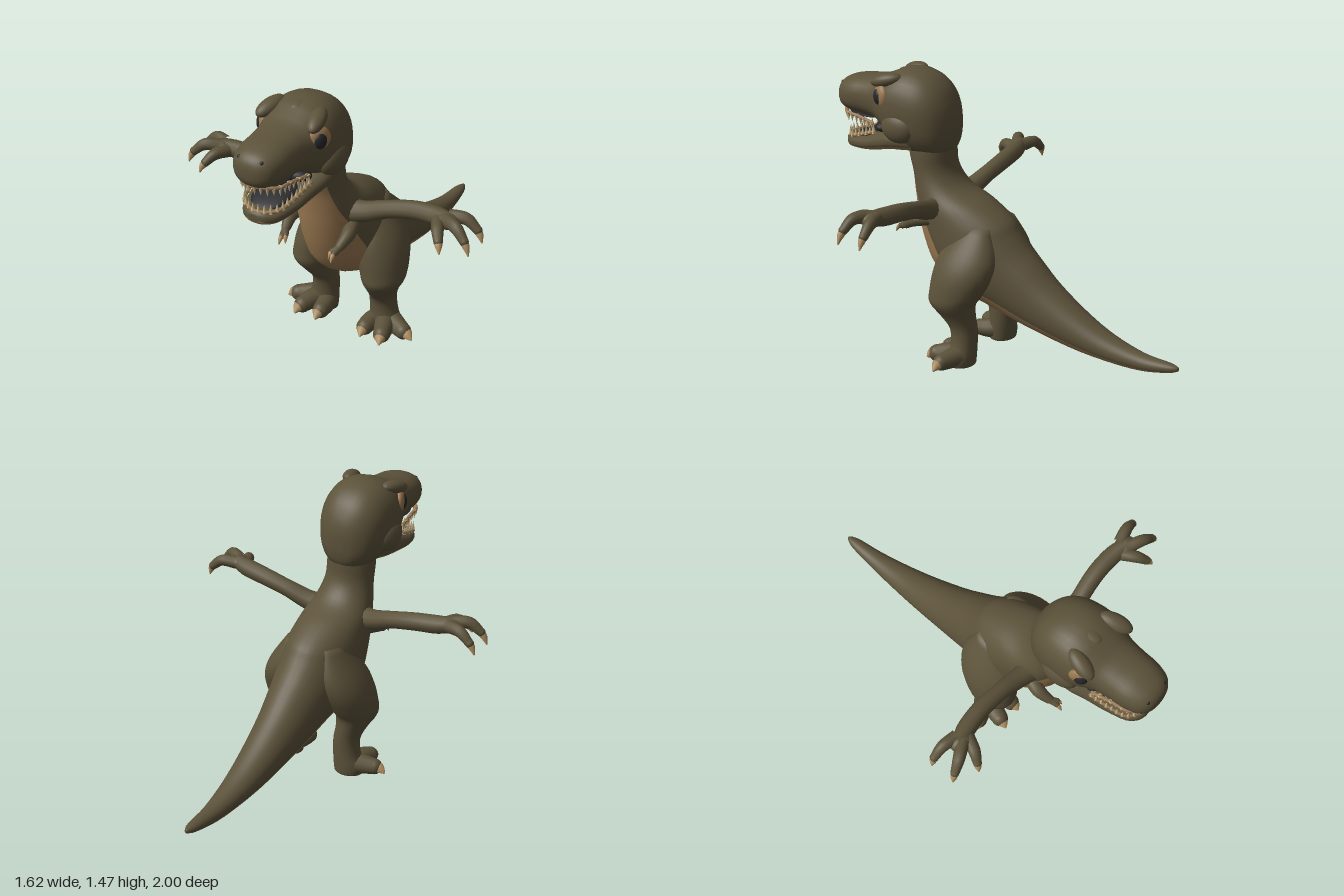
import * as THREE from 'three';

const mat = (name, color) => new THREE.MeshStandardMaterial({ name, color });

// Component-wise smooth interpolation between cross-sections
function refine(sections, steps) {
  const out = [], last = sections.length - 1;
  for (let i = 0; i < last; i++) {
    const [a, b, c, d] = [i - 1, i, i + 1, i + 2].map(k => sections[Math.min(last, Math.max(0, k))]);
    for (let k = 0; k < steps; k++) {
      const t = k / steps;
      out.push(b.map((v, n) => v + 0.5 * t * (c[n] - a[n] + t * (2 * a[n] - 5 * v + 4 * c[n] - d[n] + t * (3 * (v - c[n]) + d[n] - a[n])))));
    }
  }
  out.push(sections[last]);
  return out;
}

// Sections: [x, backZ, backY, frontZ, frontY, halfWidth, undersideAngle]
function loft(sections, power = 2, n = 32, belly = 10) {
  const rows = refine(sections, 4), pos = [], skin = [], under = [];
  const curve = v => Math.sign(v) * Math.abs(v) ** (2 / power);
  for (const [x, az, ay, bz, by, w, s] of rows) {
    for (let j = 0; j < n; j++) {
      const t = j < belly ? -s + 2 * s * j / belly : s + (2 * Math.PI - 2 * s) * (j - belly) / (n - belly);
      const c = curve(Math.cos(t)) / 2;
      pos.push(x + w * curve(Math.sin(t)), (ay + by) / 2 + c * (by - ay), (az + bz) / 2 + c * (bz - az));
    }
  }
  const m = rows.length;
  for (let i = 0; i < m - 1; i++) for (let j = 0; j < n; j++) {
    const a = i * n + j, b = i * n + (j + 1) % n;
    (j < belly ? under : skin).push(a, a + n, b + n, a, b + n, b);
  }
  // end caps
  for (const i of [0, m - 1]) {
    const [x, az, ay, bz, by] = rows[i], centre = pos.length / 3;
    pos.push(x, (ay + by) / 2, (az + bz) / 2);
    for (let j = 0; j < n; j++) {
      const a = i * n + j, b = i * n + (j + 1) % n;
      skin.push(centre, ...(i ? [b, a] : [a, b]));
    }
  }
  const g = new THREE.BufferGeometry();
  g.setAttribute('position', new THREE.Float32BufferAttribute(pos, 3));
  g.setIndex([...skin, ...under]);
  g.addGroup(0, skin.length, 0);
  g.addGroup(skin.length, under.length, 1);
  g.computeVertexNormals();
  return g;
}

// Tapered tube through points [x, y, z, radius], mirrored by s
function taper(points, s = 1) {
  const path = new THREE.CatmullRomCurve3(points.map(p => new THREE.Vector3(p[0] * s, p[1], p[2])));
  const segs = points.length * 4, radial = 12;
  const g = new THREE.TubeGeometry(path, segs, 1, radial), p = g.attributes.position, v = new THREE.Vector3();
  for (let i = 0; i <= segs; i++) {
    const f = path.getUtoTmapping(i / segs) * (points.length - 1), k = Math.min(points.length - 2, Math.floor(f));
    const r = THREE.MathUtils.lerp(points[k][3], points[k + 1][3], f - k), c = path.getPointAt(i / segs);
    for (let j = 0; j <= radial; j++) {
      const id = i * (radial + 1) + j;
      v.fromBufferAttribute(p, id).sub(c).multiplyScalar(r).add(c);
      p.setXYZ(id, v.x, v.y, v.z);
    }
  }
  return g;
}

export function createModel() {
  const model = new THREE.Group();
  const olive = mat('oliveSkin', 0x5c523a), tan = mat('tanBelly', 0x9a7851);
  const claw = mat('claw', 0xa98a5e), tooth = mat('tooth', 0xc9b489), dark = mat('darkEyeAndMouth', 0x27262a);
  const add = (name, geo, m, parent = model) => {
    const mesh = new THREE.Mesh(geo, m);
    mesh.name = name;
    parent.add(mesh);
    return mesh;
  };
  const blob = (name, m, p, r, rot = [0, 0, 0]) => {
    const mesh = add(name, new THREE.SphereGeometry(1, 24, 16), m);
    mesh.position.set(...p);
    mesh.scale.set(...r);
    mesh.rotation.set(...rot);
    return mesh;
  };

  // neck, torso and tail in one sweep
  add('body', loft([
    [0, .34, 1.28, .56, 1.16, .10, .8], [0, .32, 1.1, .56, 1.05, .125, .8],
    [0, .31, .98, .53, .94, .13, .85], [0, .24, .89, .515, .84, .15, .95],
    [0, .10, .83, .50, .72, .175, 1.05], [0, -.02, .76, .465, .58, .19, 1.1],
    [0, -.07, .70, .40, .455, .195, 1.15], [0, -.13, .63, .25, .345, .18, 1.15],
    [0, -.2, .565, .06, .285, .155, 1.15], [0, -.3, .475, -.15, .225, .13, 1.15],
    [0, -.46, .365, -.42, .17, .10, 1.15], [0, -.62, .285, -.62, .15, .075, 1.15],
    [0, -.8, .235, -.8, .148, .05, 1.15], [0, -.95, .225, -.95, .175, .03, 1.1],
    [0, -1, .215, -1, .195, .008, 1],
  ]), [olive, tan]);

  // skull and snout: [z, top, bottom, half width]
  add('head', loft([
    [.997, 1.30, 1.25, .03], [.985, 1.335, 1.22, .07], [.95, 1.365, 1.195, .108], [.88, 1.385, 1.185, .13],
    [.80, 1.395, 1.18, .135], [.72, 1.41, 1.165, .145], [.66, 1.435, 1.13, .17], [.60, 1.46, 1.08, .188],
    [.52, 1.47, 1.04, .19], [.43, 1.445, 1.03, .177], [.36, 1.39, 1.04, .142], [.315, 1.31, 1.08, .085], [.30, 1.24, 1.15, .03],
  ].map(([z, t, b, w]) => [0, z, t, z, b, w, 1]), 2.35), [olive, olive]);

  // lower jaw
  add('lowerJaw', loft([
    [.96, 1.05, 1.015, .03], [.945, 1.065, 1.0, .065], [.90, 1.07, .993, .102], [.80, 1.092, 1.0, .13],
    [.70, 1.132, 1.02, .152], [.60, 1.17, 1.045, .177], [.50, 1.17, 1.055, .16], [.42, 1.15, 1.08, .12],
  ].map(([z, t, b, w]) => [0, z, t, z, b, w, 1.3]), 2.5), [olive, tan]);

  // mouth interior
  blob('mouthFloor', dark, [0, 1.092, .79], [.098, .022, .14], [.27, 0, 0]);
  blob('throat', dark, [0, 1.15, .69], [.13, .04, .06]);
  blob('palate', dark, [0, 1.187, .82], [.095, .012, .13]);

  // gum line and rows of teeth
  const rows = [
    ['upper', -1, [[.135, 1.175, .71], [.118, 1.19, .82], [.1, 1.197, .91], [0, 1.205, .965]]],
    ['lower', 1, [[.138, 1.135, .70], [.117, 1.093, .82], [.092, 1.07, .9], [0, 1.062, .943]]],
  ];
  for (const [name, dir, half] of rows) {
    const pts = [...half, ...half.slice(0, 3).reverse().map(([x, y, z]) => [-x, y, z])];
    const path = new THREE.CatmullRomCurve3(pts.map(p => new THREE.Vector3(...p)));
    add(name + 'Gum', new THREE.TubeGeometry(path, 40, .009, 8), tan);
    for (let i = 0; i < 22; i++) {
      const t = add(name + 'Tooth', new THREE.ConeGeometry(.011, i % 2 ? .042 : .054, 8), tooth);
      t.position.copy(path.getPointAt((i + .5) / 22));
      t.position.y += dir * .02;
      if (dir < 0) t.rotation.x = Math.PI;
    }
  }
  blob('crownBump', olive, [0, 1.44, .55], [.05, .027, .09]);

  for (const s of [1, -1]) {
    const side = s > 0 ? 'left' : 'right';
    const limb = (name, pts, m = olive) => add(side + name, taper(pts, s), m);
    // digit with its claw: last point is the claw tip
    const digit = (name, pts, tip, r) => {
      const end = pts[pts.length - 1];
      limb(name, pts);
      blob(side + name + 'End', olive, [end[0] * s, end[1], end[2]], [end[3], end[3], end[3]]);
      const mid = [0, 1, 2].map(k => (end[k] + tip[k]) / 2 + (k === 1 ? .008 : 0));
      limb(name + 'Claw', [[...end.slice(0, 3), r], [...mid, r * .85], [...tip, .003]], claw);
    };

    // eye, brow, cheek and nostril
    const turn = [0, s * 1.05, 0];
    blob(side + 'EyeRim', tan, [s * .148, 1.337, .648], [.058, .062, .03], turn);
    blob(side + 'Pupil', dark, [s * .16, 1.335, .657], [.034, .042, .025], turn);
    blob(side + 'Brow', olive, [s * .128, 1.418, .63], [.042, .035, .085], [.25, s * .25, 0]);
    blob(side + 'Cheek', olive, [s * .155, 1.19, .54], [.055, .08, .1]);
    blob(side + 'Nostril', dark, [s * .06, 1.336, .962], [.011, .011, .011]);

    // outstretched arm and hand
    limb('Arm', [[.08, .79, .36, .07], [.19, .805, .34, .052], [.32, .85, .32, .044], [.46, .885, .31, .046],
      [.58, .9, .32, .047], [.66, .91, .34, .038]]);
    blob(side + 'Palm', olive, [s * .645, .908, .34], [.06, .037, .055]);
    digit('OuterFinger', [[.64, .915, .31, .034], [.72, .915, .29, .03], [.778, .87, .285, .022]], [.805, .81, .29], .02);
    digit('MiddleFinger', [[.64, .915, .35, .034], [.72, .92, .39, .03], [.775, .875, .41, .022]], [.805, .81, .42], .02);
    digit('Thumb', [[.6, .9, .34, .034], [.64, .9, .42, .03], [.668, .865, .46, .022]], [.688, .815, .485], .02);

    // small forearm folded on the chest
    limb('SmallArm', [[.14, .74, .36, .04], [.165, .72, .44, .035], [.155, .675, .51, .022]]);
    digit('SmallInnerFinger', [[.155, .675, .51, .02], [.135, .665, .535, .014]], [.125, .63, .555], .013);
    digit('SmallOuterFinger', [[.155, .675, .51, .02], [.15, .66, .545, .014]], [.15, .625, .575], .013);

    // leg: [y, x, z, half width, half depth]
    add(side + 'Leg', loft([
      [.74, .11, .09, .04, .07], [.6, .14, .12, .11, .155], [.5, .172, .14, .125, .165], [.4, .198, .168, .115, .145],
      [.34, .205, .185, .105, .125], [.27, .19, .165, .08, .098], [.2, .175, .14, .07, .073], [.12, .178, .135, .073, .068],
      [.05, .19, .14, .085, .072], [.005, .19, .14, .08, .068],
    ].map(([y, x, z, w, d]) => [x * s, z - d, y, z + d, y, w, 1])), [olive, olive]);

    // toes
    digit('InnerToe', [[.17, .06, .13, .06], [.14, .052, .2, .05], [.135, .046, .25, .043]], [.137, .015, .305], .037);
    digit('MiddleToe', [[.19, .06, .14, .06], [.225, .055, .21, .052], [.242, .047, .26, .044]], [.258, .015, .315], .037);
    digit('OuterToe', [[.2, .06, .13, .06], [.27, .052, .16, .05], [.32, .046, .18, .042]], [.378, .015, .192], .036);
  }
  return model;
}
